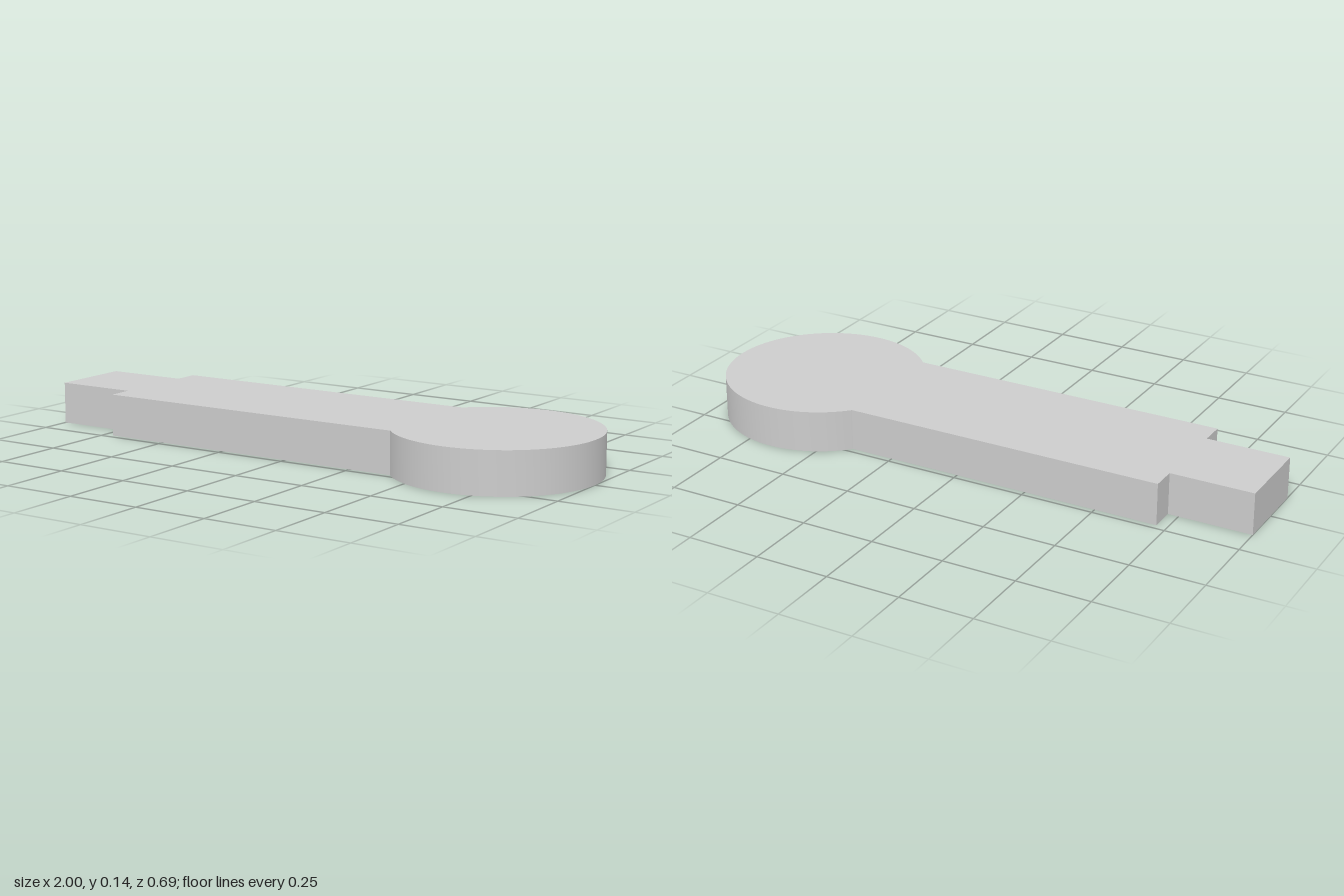
import * as THREE from 'three';
import { toCreasedNormals } from 'three/addons/utils/BufferGeometryUtils.js';

const HEIGHT = 0.143;
const TAB = 0.143;      // half width of the end tab
const BAR = 0.229;      // half width of the bar
const SHOULDER = -0.714; // x where the tab meets the bar
const RADIUS = 0.343;   // round head

export function createModel() {
  const group = new THREE.Group();
  group.name = 'roundHeadedKey';
  const grey = new THREE.MeshStandardMaterial({ color: 0xcccccc });
  grey.name = 'light grey';

  // One outline: narrow tab, shoulders, bar, then the arc of the round head
  const headX = 1 - RADIUS;
  const join = Math.PI - Math.asin(BAR / RADIUS);
  const outline = new THREE.Shape();
  outline.moveTo(-1, TAB);
  outline.lineTo(-1, -TAB);
  outline.lineTo(SHOULDER, -TAB);
  outline.lineTo(SHOULDER, -BAR);
  outline.absarc(headX, 0, RADIUS, -join, join, false);
  outline.lineTo(SHOULDER, BAR);
  outline.lineTo(SHOULDER, TAB);
  outline.closePath();

  // Plate lying flat, smooth round the head and sharp at the edges
  const plate = new THREE.ExtrudeGeometry(outline, { depth: HEIGHT, bevelEnabled: false, curveSegments: 48 });
  plate.rotateX(-Math.PI / 2);
  const body = new THREE.Mesh(toCreasedNormals(plate, 0.5), grey);
  body.name = 'keyPlate';
  group.add(body);
  return group;
}
